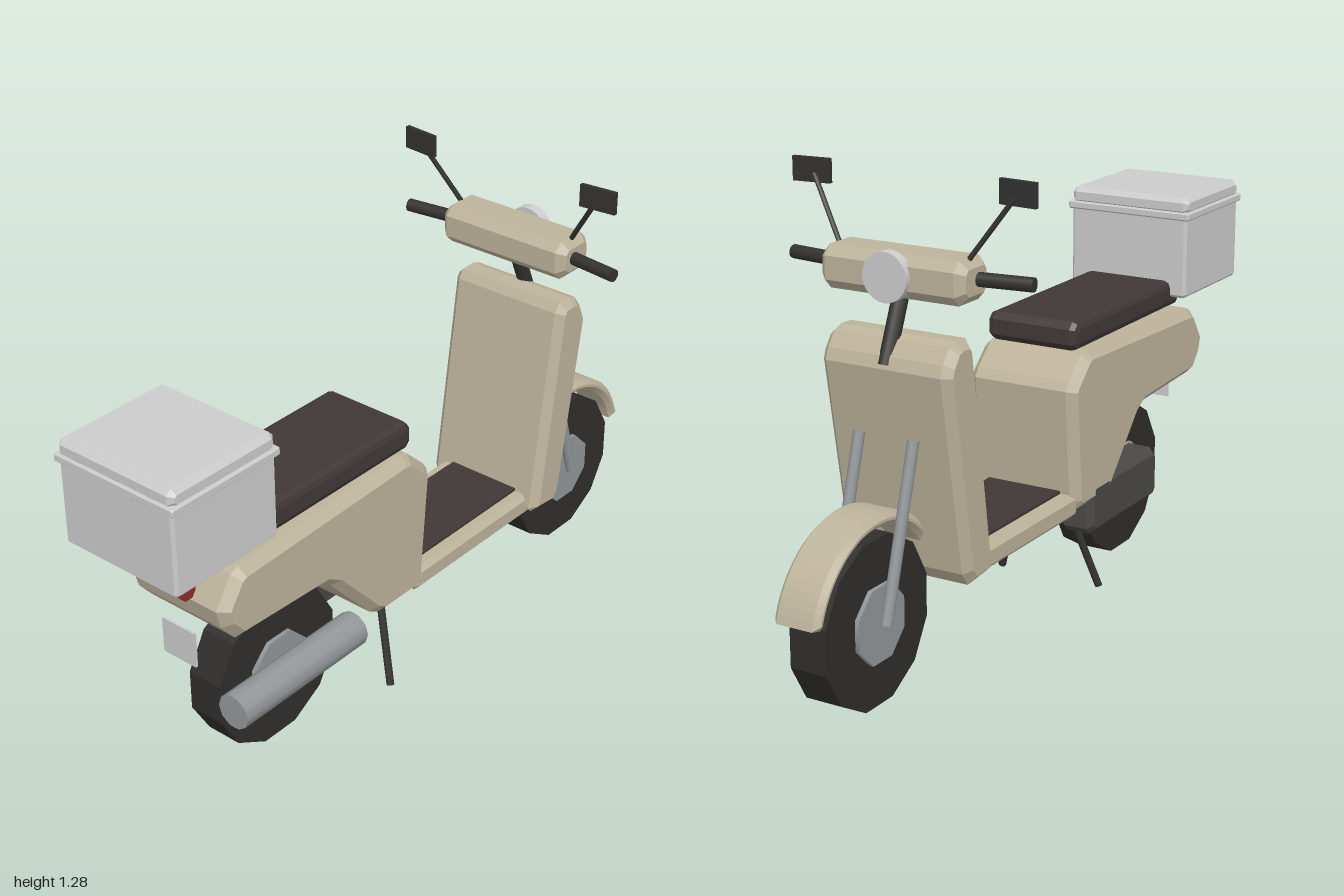
import * as THREE from 'three';

const mat = (color, flat = false) => new THREE.MeshStandardMaterial({ color, flatShading: flat, side: THREE.DoubleSide });
const paint = mat(0xbdb39b), rubber = mat(0x302e2d, true), vinyl = mat(0x403836), black = mat(0x333231);
const steel = mat(0x93979a), grey = mat(0xcccccc), engineGrey = mat(0x4a4947), red = mat(0x8c2f28);

export function createModel() {
  const scooter = new THREE.Group();

  const add = (name, geometry, material) => {
    const mesh = new THREE.Mesh(geometry, material);
    mesh.name = name;
    scooter.add(mesh);
    return mesh;
  };

  // Side outline extruded across the scooter, with chamfered rims
  const panel = (name, shape, halfWidth, bevel, material, z = 0, segments = 1) => {
    const g = new THREE.ExtrudeGeometry(shape, {
      depth: 2 * (halfWidth - bevel), bevelEnabled: true, bevelThickness: bevel, bevelSize: bevel,
      bevelOffset: -bevel, bevelSegments: segments, curveSegments: 14,
    });
    g.translate(0, 0, z - halfWidth + bevel);
    return add(name, g, material);
  };
  const outline = (points) => new THREE.Shape(points.map(([x, y]) => new THREE.Vector2(x, y)));

  // Rectangle with cut corners
  const rect = (x0, x1, y0, y1, c) => outline([
    [x0 + c, y0], [x1 - c, y0], [x1, y0 + c], [x1, y1 - c],
    [x1 - c, y1], [x0 + c, y1], [x0, y1 - c], [x0, y0 + c],
  ]);

  // Round bar between two points
  const rod = (name, a, b, r, material, sides = 10) => {
    const from = new THREE.Vector3(...a), to = new THREE.Vector3(...b);
    const mesh = add(name, new THREE.CylinderGeometry(r, r, from.distanceTo(to), sides), material);
    mesh.position.copy(from).add(to).multiplyScalar(0.5);
    mesh.quaternion.setFromUnitVectors(new THREE.Vector3(0, 1, 0), to.sub(from).normalize());
    return mesh;
  };
  const box = (name, x0, x1, y0, y1, halfWidth, material) => {
    const g = new THREE.BoxGeometry(x1 - x0, y1 - y0, 2 * halfWidth);
    g.translate((x0 + x1) / 2, (y0 + y1) / 2, 0);
    return add(name, g, material);
  };

  // Wheels
  for (const [name, x] of [['rear', -0.53], ['front', 0.73]]) {
    const tyre = new THREE.CylinderGeometry(0.223, 0.223, 0.104, 12).rotateY(Math.PI / 12).rotateX(Math.PI / 2);
    add(name + 'Tyre', tyre.translate(x, 0.222, 0), rubber);
    const hub = new THREE.CylinderGeometry(0.105, 0.105, 0.128, 8).rotateY(Math.PI / 8).rotateX(Math.PI / 2);
    add(name + 'Hub', hub.translate(x, 0.222, 0), steel);
  }

  // Front mudguard: arched band
  const arch = new THREE.Shape();
  arch.absarc(0.73, 0.222, 0.278, 0.27, 2.55, false);
  arch.absarc(0.73, 0.222, 0.243, 2.55, 0.27, true);
  panel('frontMudguard', arch, 0.065, 0.014, paint);

  // Painted bodywork
  panel('rearBody', outline([
    [-0.83, 0.6], [-0.815, 0.545], [-0.77, 0.492], [-0.46, 0.478], [-0.42, 0.455], [-0.27, 0.29], [-0.235, 0.27],
    [-0.08, 0.27], [-0.062, 0.295], [-0.033, 0.62], [-0.05, 0.645], [-0.115, 0.705], [-0.14, 0.712], [-0.75, 0.692], [-0.775, 0.68],
  ]), 0.165, 0.025, paint);
  panel('legShield', outline([
    [0.4, 0.285], [0.412, 0.272], [0.5, 0.264], [0.527, 0.3], [0.617, 0.825],
    [0.605, 0.855], [0.578, 0.892], [0.55, 0.902], [0.505, 0.9], [0.488, 0.875],
  ]), 0.187, 0.022, paint);
  panel('floorboard', rect(-0.09, 0.45, 0.255, 0.322, 0.012), 0.152, 0.014, paint);
  box('floorMat', -0.065, 0.43, 0.315, 0.33, 0.112, vinyl);

  // Seat
  panel('seat', rect(-0.72, -0.09, 0.713, 0.792, 0.018), 0.138, 0.02, vinyl, 0, 2);

  // Luggage box on its rack
  box('rack', -0.955, -0.69, 0.725, 0.75, 0.12, engineGrey);
  panel('luggageBox', rect(-0.993, -0.65, 0.745, 0.985, 0.008), 0.185, 0.008, grey);
  panel('luggageLidRim', rect(-1, -0.643, 0.973, 0.996, 0.004), 0.194, 0.004, grey);
  panel('luggageLid', rect(-0.995, -0.648, 0.985, 1.037, 0.014), 0.187, 0.014, grey);

  // Tail light and number plate
  box('tailLight', -0.85, -0.815, 0.605, 0.655, 0.06, red);
  box('numberPlate', -0.824, -0.817, 0.39, 0.492, 0.055, grey);

  // Engine housing on one side, silencer on the other
  panel('engineHousing', rect(-0.54, -0.14, 0.18, 0.33, 0.02), 0.052, 0.018, engineGrey, -0.113);
  rod('silencer', [-0.8, 0.286, 0.152], [-0.345, 0.286, 0.152], 0.049, steel);

  // Steering column, handlebar housing and headlight
  rod('steeringColumn', [0.6, 0.83, 0], [0.515, 1.03, 0], 0.021, black);
  panel('handlebarHousing', rect(0.45, 0.586, 0.992, 1.102, 0.025), 0.206, 0.022, paint);
  rod('headlight', [0.573, 1.048, 0], [0.602, 1.048, 0], 0.063, grey, 24);

  // Paired parts
  for (const s of [1, -1]) {
    rod('forkLeg', [0.605, 0.655, s * 0.079], [0.733, 0.222, s * 0.079], 0.015, steel);
    rod('standLeg', [-0.148, 0.29, s * 0.068], [-0.202, 0.015, s * 0.157], 0.011, black, 8);
    rod('grip', [0.508, 1.049, s * 0.19], [0.488, 1.049, s * 0.347], 0.018, black, 12);
    rod('mirrorStalk', [0.522, 1.085, s * 0.178], [0.475, 1.25, s * 0.288], 0.007, black, 6);
    const mirror = add('mirror', new THREE.BoxGeometry(0.012, 0.062, 0.105), black);
    mirror.position.set(0.474, 1.259, s * 0.295);
    mirror.rotation.y = s * 0.1;
  }
  return scooter;
}
